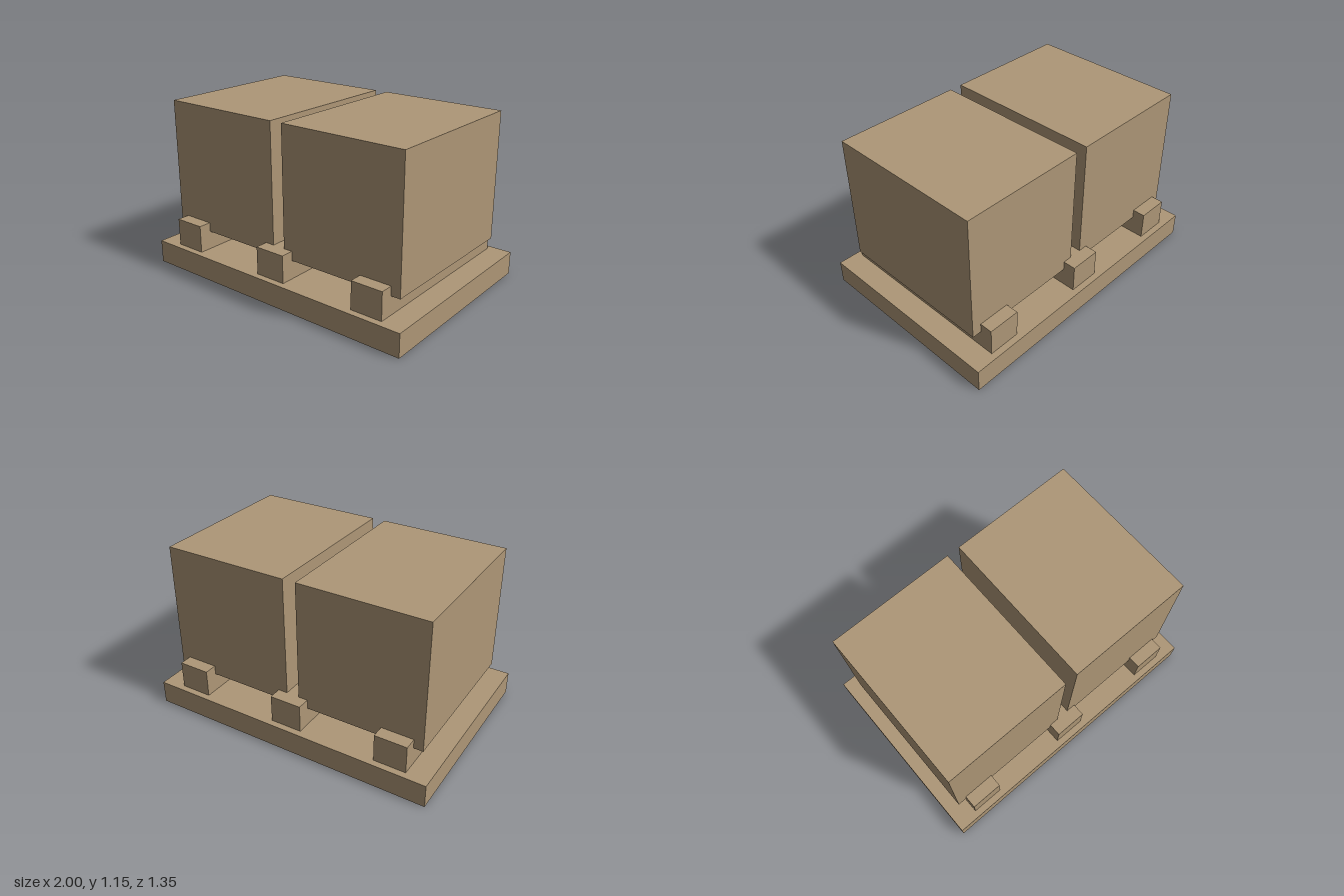
import * as THREE from 'three';

export function createModel() {
  const model = new THREE.Group();
  const cardboard = new THREE.MeshStandardMaterial({ color: 0xae9777 });
  cardboard.name = 'cardboard tan';

  // Box placed by its centre x and its bottom and top heights, centred on z
  function addBlock(name, x, bottom, top, width, depth) {
    const mesh = new THREE.Mesh(new THREE.BoxGeometry(width, top - bottom, depth), cardboard);
    mesh.name = name;
    mesh.position.set(x, (bottom + top) / 2, 0);
    model.add(mesh);
  }

  // Pallet deck
  addBlock('baseSlab', 0, 0, 0.157, 2, 1.345);

  // Three runners from front to back, let into the crates
  const runners = { rightRunner: -0.74, middleRunner: 0, leftRunner: 0.74 };
  for (const [name, x] of Object.entries(runners)) {
    addBlock(name, x, 0.157, 0.344, 0.217, 1.258);
  }

  // Two crates side by side
  for (const side of [-1, 1]) {
    addBlock(side < 0 ? 'rightCrate' : 'leftCrate', side * 0.478, 0.281, 1.149, 0.868, 1.085);
  }

  return model;
}
